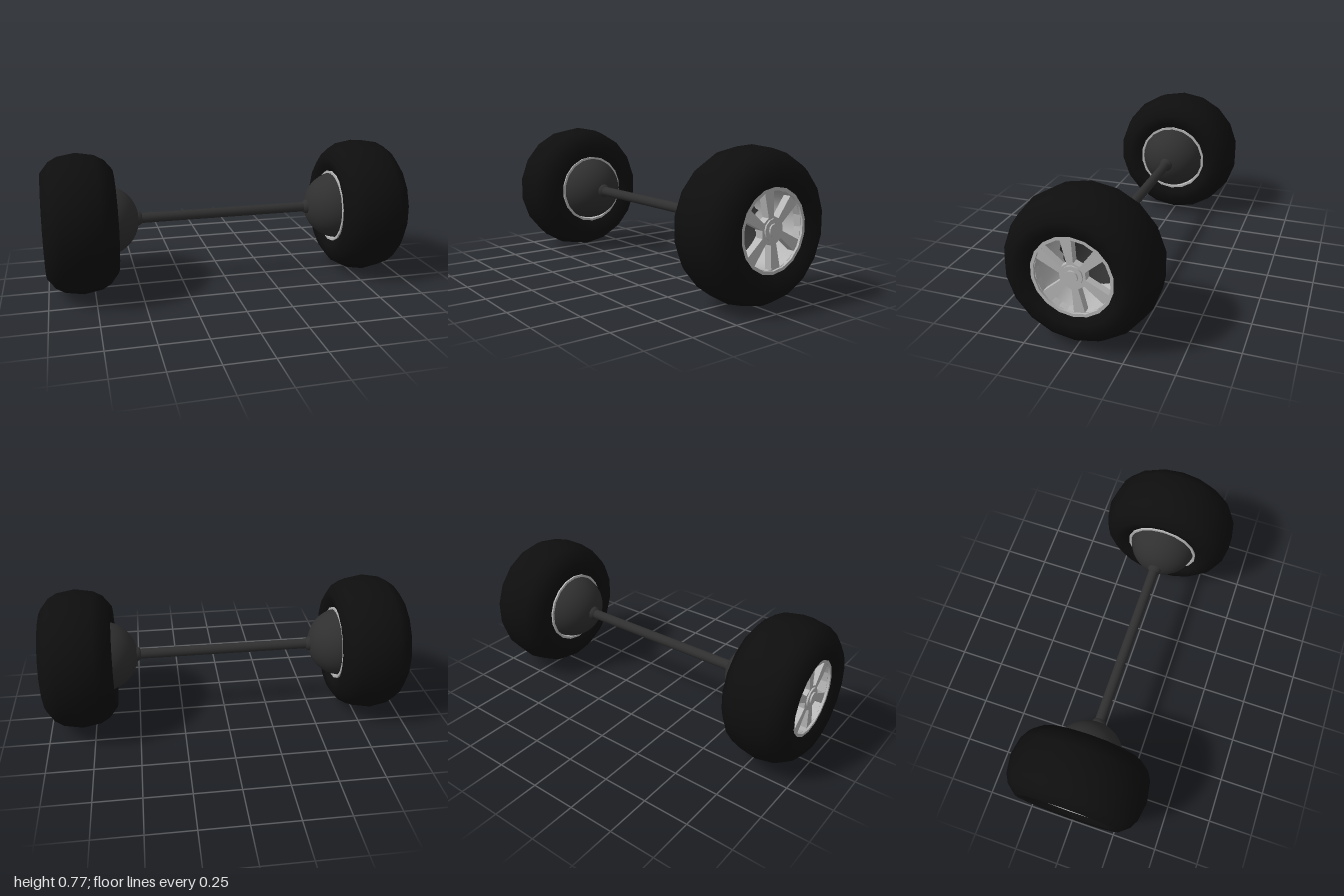
import * as THREE from 'three';
import { toCreasedNormals } from 'three/addons/utils/BufferGeometryUtils.js';

const rubber = new THREE.MeshStandardMaterial({ name: 'black rubber', color: 0x0e0e0e });
const alloy = new THREE.MeshStandardMaterial({ name: 'light alloy', color: 0xb8b8b8 });
const steel = new THREE.MeshStandardMaterial({ name: 'dark steel', color: 0x303030, side: THREE.DoubleSide });

const WHEEL_Y = 0.388, AXLE_Y = 0.393, WHEEL_X = 0.81, SIDES = 18;

function add(parent, name, geometry, material, x = 0, y = 0) {
  const mesh = new THREE.Mesh(geometry, material);
  mesh.name = name;
  mesh.position.set(x, y, 0);
  parent.add(mesh);
  return mesh;
}

// Lathe about the x axis from [radius, x] pairs, with a corner at the top
function turned(profile, sides = SIDES) {
  const points = profile.map(([r, x]) => new THREE.Vector2(r, x));
  return new THREE.LatheGeometry(points, sides, Math.PI / 2).rotateZ(-Math.PI / 2);
}

function disc(radius, width, sides) {
  return new THREE.CylinderGeometry(radius, radius, width, sides).rotateZ(-Math.PI / 2);
}

// Spoked disc: three window shapes, repeated half a turn on
function spokeGeometry() {
  const polar = (r, deg) => {
    const a = THREE.MathUtils.degToRad(deg);
    return new THREE.Vector2(r * Math.cos(a), r * Math.sin(a));
  };
  const shape = new THREE.Shape();
  shape.absarc(0, 0, 0.196, 0, Math.PI * 2);
  // outer start, outer end, inner start, inner end in degrees
  const windows = [[90, 54, 85, 56], [35, -20, 26, -7], [-38, -73, -36, -67]];
  for (const turn of [0, 180]) {
    for (const [a, b, c, d] of windows) {
      const rim = [0, 1 / 3, 2 / 3, 1].map(t => polar(0.187, turn + a + (b - a) * t));
      shape.holes.push(new THREE.Path([...rim, polar(0.066, turn + d), polar(0.069, turn + c)]));
    }
  }
  return new THREE.ExtrudeGeometry(shape, { depth: 0.04, bevelEnabled: false, curveSegments: SIDES })
    .rotateY(Math.PI / 2);
}

// Wheel whose outer side faces +x
function createWheel() {
  const wheel = new THREE.Group();
  const half = [[0.386, 0], [0.369, 0.1], [0.342, 0.148], [0.289, 0.19], [0.24, 0.182], [0.205, 0.16]];
  const inner = half.slice(1).reverse().map(([r, x]) => [r, -x]);
  add(wheel, 'tire', turned([...inner, ...half]), rubber);

  const rim = turned([[0.208, -0.172], [0.208, 0.16], [0.189, 0.16], [0.195, -0.172], [0.208, -0.172]]);
  add(wheel, 'rim', toCreasedNormals(rim, Math.PI / 6), alloy);
  add(wheel, 'spokes', spokeGeometry(), alloy, 0.108);

  const lift = AXLE_Y - WHEEL_Y;
  add(wheel, 'hub', disc(0.053, 0.05, 12), alloy, 0.131, lift);
  add(wheel, 'hubCap', disc(0.031, 0.05, 12), alloy, 0.139, lift);

  // Open bowl behind the spokes
  const bowl = [];
  for (let i = 0; i <= 10; i++) {
    const a = (i / 10) * Math.PI / 2;
    bowl.push([0.195 * Math.sin(a), -0.125 - 0.195 * Math.cos(a)]);
  }
  add(wheel, 'housing', turned(bowl, 32), steel, 0, lift);
  add(wheel, 'axleCollar', new THREE.SphereGeometry(0.042, 16, 12), steel, -0.307, lift);
  return wheel;
}

export function createModel() {
  const model = new THREE.Group();
  model.name = 'wheelAxle';
  add(model, 'axle', disc(0.028, 1.0, 16), steel, 0, AXLE_Y);
  for (const side of [1, -1]) {
    const wheel = createWheel();
    wheel.name = side > 0 ? 'leftWheel' : 'rightWheel';
    wheel.position.set(side * WHEEL_X, WHEEL_Y, 0);
    if (side < 0) wheel.rotation.y = Math.PI;
    model.add(wheel);
  }
  return model;
}
